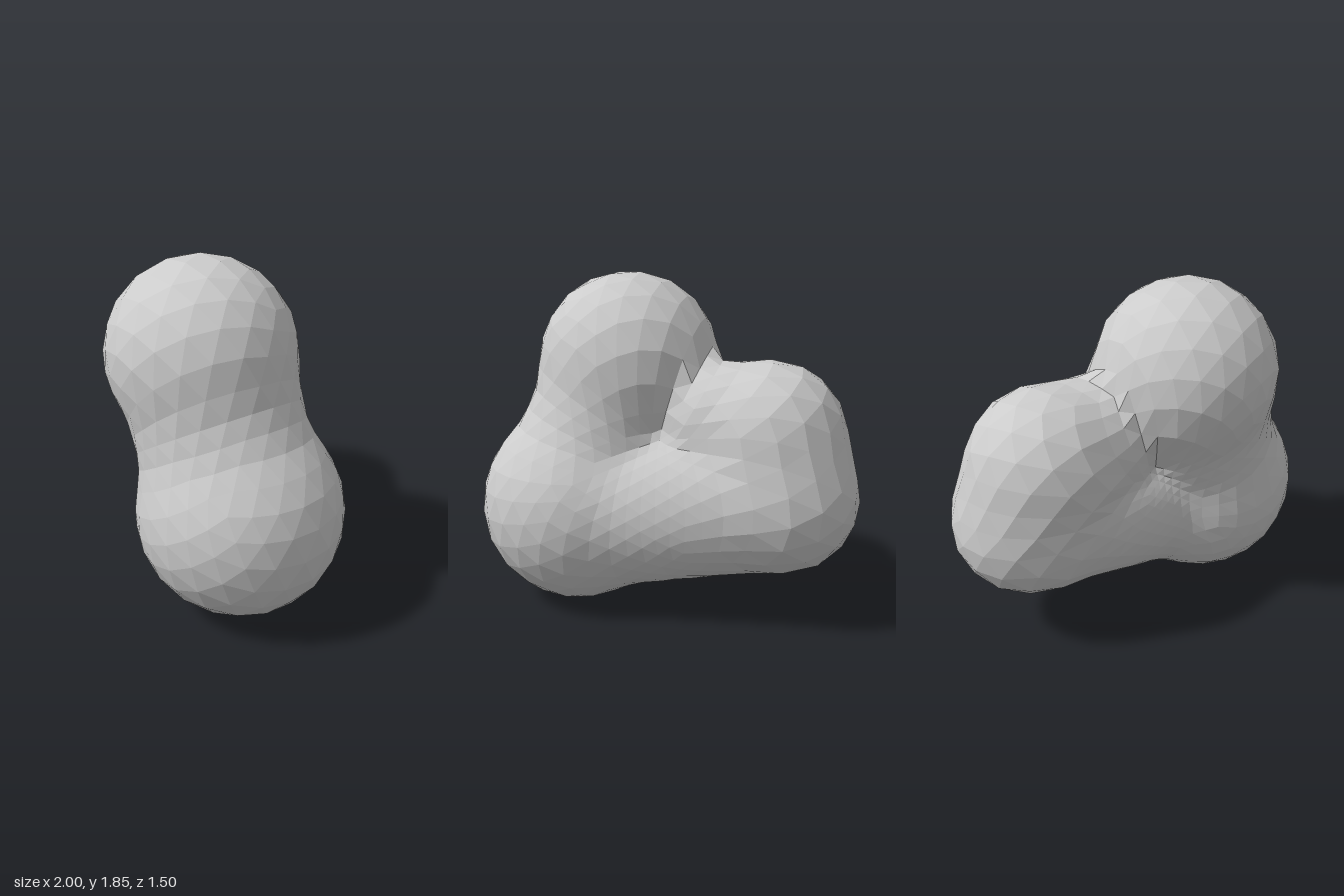
import * as THREE from 'three';

const V = (x, y, z) => new THREE.Vector3(x, y, z);

// Tapered limbs [start, start radius, end, end radius] that merge into the three-lobed body
const limbs = [
  [V(0.45, 0.55, 0.2), 0.55, V(0.45, 0.56, 0.2), 0.55],        // large lower lobe
  [V(0.14, 1.36, 0.23), 0.5, V(0.15, 1.36, 0.23), 0.5],        // top lobe
  [V(0.4, 0.7, 0.21), 0.46, V(0.18, 1.25, 0.22), 0.45],        // neck between them
  [V(-0.54, 1.0, -0.26), 0.41, V(-0.59, 0.68, -0.35), 0.41],   // side lobe
  [V(-0.52, 1.0, -0.26), 0.39, V(-0.28, 1.06, -0.12), 0.34],   // shoulder from side lobe to top lobe
  [V(-0.5, 0.68, -0.3), 0.41, V(0.17, 0.57, 0.01), 0.44],      // bridge to the lower lobe
];

function limbDistance(p, [a, ra, b, rb]) {
  const ab = b.clone().sub(a);
  const t = THREE.MathUtils.clamp(p.clone().sub(a).dot(ab) / ab.lengthSq(), 0, 1);
  return p.distanceTo(ab.multiplyScalar(t).add(a)) - (ra + (rb - ra) * t);
}

// Union of the limbs with slightly softened joins
function bodyDistance(p) {
  const k = 0.06;
  return limbs.map((l) => limbDistance(p, l)).reduce((a, b) => {
    const h = Math.max(k - Math.abs(a - b), 0) / k;
    return Math.min(a, b) - h * h * k * 0.25;
  });
}

export function createModel() {
  const group = new THREE.Group();
  group.name = 'blob';

  // Shrink-wrap a faceted ball onto the body by marching in from outside
  const core = V(0, 0.8, 0.05);
  const geometry = new THREE.IcosahedronGeometry(1, 7);
  const pos = geometry.attributes.position;
  const dir = V(0, 0, 0);
  for (let i = 0; i < pos.count; i++) {
    dir.fromBufferAttribute(pos, i).normalize();
    let r = 2.2;
    for (let s = 0; s < 60; s++) {
      const d = bodyDistance(core.clone().addScaledVector(dir, r));
      if (d < 0.001) break;
      r -= d;
    }
    pos.setXYZ(i, core.x + dir.x * r, core.y + dir.y * r, core.z + dir.z * r);
  }
  geometry.computeVertexNormals();

  const body = new THREE.Mesh(
    geometry,
    new THREE.MeshStandardMaterial({ color: 0xcccccc, flatShading: true })
  );
  body.name = 'lobedBody';
  group.add(body);
  return group;
}
